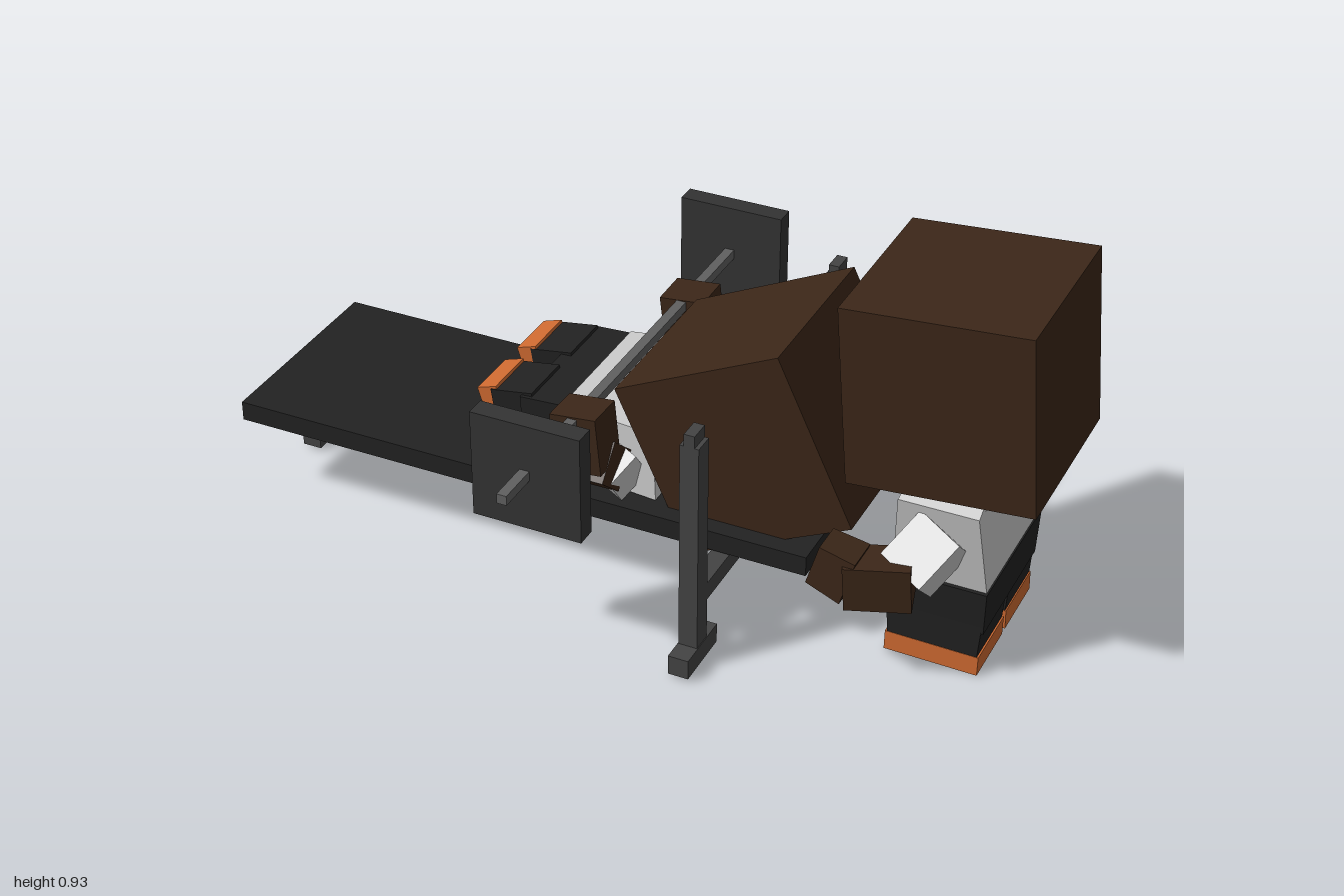
import * as THREE from 'three';

const mat = (color) => new THREE.MeshStandardMaterial({ color, flatShading: true });
const skin = mat(0x3b2618), shirt = mat(0xcccccc), trousers = mat(0x212121), shoe = mat(0xcf6a31);
const pad = mat(0x222222), frame = mat(0x444444), iron = mat(0x333333), steel = mat(0x606060);

// Box whose upper face is scaled in x and z
function taperBox(w, h, d, sx = 1, sz = 1) {
  const g = new THREE.BoxGeometry(w, h, d);
  const p = g.attributes.position;
  for (let i = 0; i < p.count; i++) {
    if (p.getY(i) > 0) p.setXYZ(i, p.getX(i) * sx, p.getY(i), p.getZ(i) * sz);
  }
  g.computeVertexNormals();
  return g;
}

function add(parent, name, geometry, material, position, rotZ = 0) {
  const m = new THREE.Mesh(geometry, material);
  m.name = name;
  m.position.set(...position);
  m.rotation.z = THREE.MathUtils.degToRad(rotZ);
  parent.add(m);
  return m;
}

const box = (parent, name, size, material, position, rotZ) =>
  add(parent, name, new THREE.BoxGeometry(...size), material, position, rotZ);

// Square-section limb running from point a to point b
function limb(parent, name, a, b, w, d, material, taper = 1) {
  const A = new THREE.Vector3(...a), B = new THREE.Vector3(...b);
  const m = add(parent, name, taperBox(w, A.distanceTo(B), d, taper, taper), material,
    A.clone().add(B).multiplyScalar(0.5).toArray());
  // Keep the section square to the side plane
  const y = B.sub(A).normalize();
  const ref = Math.abs(y.x) > 0.7 ? new THREE.Vector3(0, 1, 0) : new THREE.Vector3(1, 0, 0);
  const z = new THREE.Vector3().crossVectors(ref, y).normalize();
  const x = new THREE.Vector3().crossVectors(y, z);
  m.quaternion.setFromRotationMatrix(new THREE.Matrix4().makeBasis(x, y, z));
  return m;
}

function buildBench() {
  const g = new THREE.Group();
  g.name = 'bench';
  box(g, 'benchPad', [1.49, 0.05, 0.53], pad, [-0.255, 0.24, 0]);
  // Single support at the foot end
  box(g, 'rearLeg', [0.035, 0.18, 0.035], frame, [-0.96, 0.13, 0]);
  box(g, 'rearFoot', [0.05, 0.036, 0.075], frame, [-0.96, 0.03, 0]);
  // Rack uprights joined by a crossbar
  box(g, 'crossbar', [0.045, 0.045, 0.77], frame, [0.277, 0.187, 0]);
  for (const s of [1, -1]) {
    box(g, 'upright', [0.046, 0.57, 0.052], frame, [0.277, 0.315, s * 0.405]);
    box(g, 'uprightTip', [0.026, 0.035, 0.052], frame, [0.277, 0.613, s * 0.405]);
    box(g, 'uprightFoot', [0.05, 0.05, 0.155], frame, [0.277, 0.037, s * 0.405]);
  }
  return g;
}

function buildBarbell() {
  const g = new THREE.Group();
  g.name = 'barbell';
  box(g, 'bar', [0.024, 0.024, 1.34], steel, [-0.055, 0.513, 0]);
  for (const s of [1, -1]) {
    box(g, 'weightPlate', [0.268, 0.268, 0.05], iron, [-0.053, 0.506, s * 0.54]);
  }
  return g;
}

function buildSpotter() {
  const g = new THREE.Group();
  g.name = 'standingFigure';
  box(g, 'head', [0.44, 0.44, 0.44], skin, [0.76, 0.697, 0], 4.5);
  add(g, 'torso', taperBox(0.225, 0.225, 0.35, 0.84, 1.23), shirt, [0.775, 0.338, 0]);
  add(g, 'shoulders', taperBox(0.189, 0.035, 0.43, 0.95, 0.6), shirt, [0.775, 0.467, 0]);
  add(g, 'hips', taperBox(0.23, 0.115, 0.355, 1.04, 1.05), trousers, [0.771, 0.177, 0]);
  for (const s of [1, -1]) {
    add(g, 'leg', taperBox(0.215, 0.09, 0.17, 1.06, 1), trousers, [0.768, 0.095, s * 0.094]);
    box(g, 'shoe', [0.225, 0.05, 0.172], shoe, [0.767, 0.031, s * 0.094], s * -1);
    // Arms angle outward, forearms reach toward the bench
    limb(g, 'sleeve', [0.785, 0.375, s * 0.185], [0.725, 0.29, s * 0.262], 0.12, 0.11, shirt);
  }
  limb(g, 'leftForearm', [0.745, 0.285, 0.265], [0.6, 0.275, 0.305], 0.11, 0.10, skin);
  limb(g, 'leftHand', [0.62, 0.285, 0.3], [0.535, 0.31, 0.3], 0.12, 0.09, skin, 0.9);
  limb(g, 'rightForearm', [0.745, 0.285, -0.25], [0.62, 0.28, -0.265], 0.11, 0.095, skin);
  limb(g, 'rightHand', [0.64, 0.285, -0.26], [0.525, 0.31, -0.26], 0.12, 0.09, skin, 0.9);
  return g;
}

function buildLifter() {
  const g = new THREE.Group();
  g.name = 'lyingFigure';
  box(g, 'head', [0.44, 0.44, 0.44], skin, [0.285, 0.445, 0], 25.4);
  add(g, 'torso', taperBox(0.18, 0.25, 0.36, 1, 1.2), shirt, [-0.035, 0.357, 0], -88);
  box(g, 'hips', [0.13, 0.172, 0.36], trousers, [-0.205, 0.35, 0], 3);
  for (const s of [1, -1]) {
    box(g, 'leg', [0.11, 0.165, 0.142], trousers, [-0.29, 0.352, s * 0.1], 9);
    box(g, 'shoe', [0.052, 0.16, 0.138], shoe, [-0.345, 0.35, s * 0.099], 18);
    // Upper arm drops to the side, forearm rises to the bar
    const out = s > 0 ? 0.012 : -0.008;
    limb(g, 'sleeve', [0.0, 0.37, s * 0.19], [-0.035, 0.32, s * 0.255], 0.12, 0.1, shirt);
    limb(g, 'elbow', [-0.03, 0.345, s * 0.235], [-0.04, 0.40, s * 0.285 + out], 0.115, 0.1, skin);
    limb(g, 'forearm', [-0.04, 0.385, s * 0.28 + out], [-0.055, 0.528, s * 0.277 + out], 0.115, 0.1, skin);
  }
  return g;
}

export function createModel() {
  const model = new THREE.Group();
  model.name = 'benchPressScene';
  model.add(buildBench(), buildBarbell(), buildSpotter(), buildLifter());
  return model;
}
